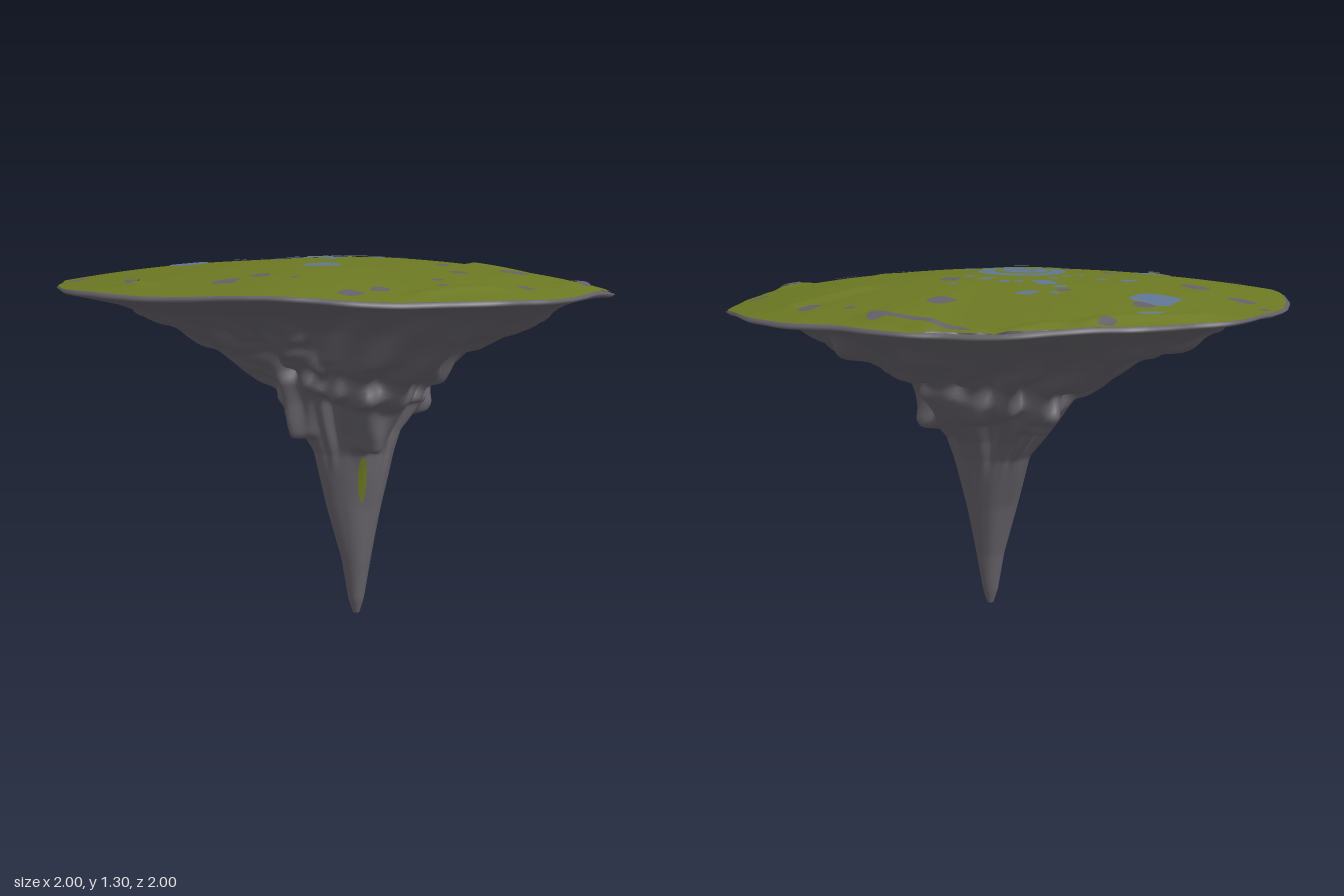
import * as THREE from 'three';

const mat = (name, color) => {
  const m = new THREE.MeshStandardMaterial({ color, side: THREE.DoubleSide });
  m.name = name;
  return m;
};
const TAU = Math.PI * 2, RAD = Math.PI / 180;
const { sin, cos, hypot, exp, min, max, floor, atan2 } = Math;
const lerp = THREE.MathUtils.lerp, smooth = THREE.MathUtils.smoothstep;

// Rim radius every 11.25 degrees, from +x towards +z
const RIM = [1, .99, 1, .985, .965, .955, .975, .995, .995, .96, .975, .96, .965, .97, .99, 1,
  1, .995, .985, .985, .985, .985, .985, 1.01, .985, 1, .965, .965, .94, .975, .955, .99];

// Rock sections: height, centre z, then radius in eight directions from +x towards +z
const ROWS = [
  [0, .14, .012, .012, .012, .012, .012, .012, .012, .012],
  [.05, .14, .028, .028, .028, .028, .028, .028, .028, .028],
  [.2, .135, .06, .055, .05, .05, .05, .05, .05, .055],
  [.4, .115, .11, .1, .085, .09, .1, .09, .085, .1],
  [.6, .09, .17, .15, .14, .13, .14, .13, .14, .15],
  [.68, .08, .2, .18, .2, .16, .19, .18, .2, .19],
  [.8, .06, .31, .27, .33, .22, .25, .25, .28, .28],
  [.9, .045, .38, .36, .47, .3, .32, .35, .39, .37],
  [1, .03, .52, .49, .6, .4, .44, .5, .6, .52],
  [1.07, .02, .69, .63, .71, .5, .58, .67, .76, .69],
  [1.12, .01, .8, .75, .78, .64, .7, .78, .85, .8],
  [1.16, 0, .9, .87, .87, .83, .86, .89, .93, .88],
];

// Overhanging rock lobes: angle, lowest y, height, bulge, angular half width
const LOBES = [
  [178, .65, .26, .055, 16], [268, .71, .22, .05, 14], [92, .61, .2, .06, 15], [10, .71, .2, .045, 13],
  [50, .77, .2, .04, 12], [318, .75, .2, .04, 12], [225, .8, .2, .035, 12], [135, .82, .2, .03, 12],
];
// Smaller lobes, and every fourth a hollow, spread round the flank
for (let i = 0; i < 72; i++) {
  const k = (i * .7549) % 1;
  LOBES.push([i * 137.5, .76 + .32 * k, .15 + .05 * sin(i), i % 4 ? .035 : -.045, lerp(8, 3.2, k)]);
}

// Smooth lookup around a closed ring of values
function around(values, a) {
  const n = values.length, f = ((a / TAU) % 1 + 1) % 1 * n, i = floor(f), k = f - i;
  return lerp(values[i % n], values[(i + 1) % n], k * k * (3 - 2 * k));
}
const rim = a => around(RIM, a) + .002 * sin(23 * a) * cos(2 * a) + .002 * cos(37 * a);
const edge = a => 1.187 - .013 * cos(a) + .006 * cos(5 * a + 1) + .004 * sin(9 * a);

// Raised folds in the turf: start x, z, end x, z
const FOLDS = [
  [.58, -.73, .68, -.6], [.67, -.6, .76, -.4], [.59, 0, .86, -.02], [-.16, .85, .09, .86],
  [-.1, -.93, .3, -.87], [.4, -.82, .52, -.79], [-.87, .19, -.83, .25], [.49, .7, .58, .68],
];

// Height of the turf at any x, z
function turfY(x, z) {
  const a = atan2(z, x), t = min(1, hypot(x, z) / rim(a));
  let y = lerp(1.285, edge(a), Math.pow(t, 2.2)) + .006 * sin(5 * x + 1) * cos(6 * z) * (1 - t);
  for (const [x0, z0, x1, z1] of FOLDS) {
    const dx = x1 - x0, dz = z1 - z0;
    const k = max(0, min(1, ((x - x0) * dx + (z - z0) * dz) / (dx * dx + dz * dz)));
    const d = hypot(x - x0 - k * dx, z - z0 - k * dz);
    y += .013 * exp(-d * d / .0009);
  }
  return y;
}

// Point on the rock below the rim
function rockPoint(a, y, grow = 0) {
  let i = 0;
  while (i < ROWS.length - 2 && y > ROWS[i + 1][0]) i++;
  const A = ROWS[i], B = ROWS[i + 1], k = (y - A[0]) / (B[0] - A[0]);
  let r = lerp(around(A.slice(2), a), around(B.slice(2), a), k);
  const rough = smooth(y, .5, .72) * (1 - smooth(y, 1.06, 1.15));
  const bend = a + .12 * sin(3 * a + 6 * y);
  r *= 1 + rough * (.04 * cos(6 * bend + 2) + .045 * cos(11 * bend + 1 - 4 * y)
    + .03 * cos(19 * bend + 6 * y) - .03) + .03 * cos(3 * a + 8 * y);
  let bulge = 0;
  for (const [deg, y0, h, size, w] of LOBES) {
    const d = atan2(sin(a - deg * RAD), cos(a - deg * RAD)) / (w * RAD);
    bulge += size * exp(-d * d) * smooth(y, y0, y0 + .045) * (1 - smooth(y, y0 + .05, y0 + h));
  }
  bulge *= 1 - smooth(y, 1.08, 1.15);
  r += bulge + grow;
  return [cos(a) * r, y - bulge * .5, lerp(A[1], B[1], k) + sin(a) * r];
}

// Closed surface: angle runs round, v runs along
function surface(nu, nv, fn) {
  const pos = [], idx = [];
  for (let j = 0; j <= nv; j++)
    for (let i = 0; i < nu; i++) pos.push(...fn(i / nu * TAU, j / nv));
  for (let j = 0; j < nv; j++)
    for (let i = 0; i < nu; i++) {
      const a = j * nu + i, b = j * nu + (i + 1) % nu;
      idx.push(a, a + nu, b, b, a + nu, b + nu);
    }
  const g = new THREE.BufferGeometry();
  g.setAttribute('position', new THREE.Float32BufferAttribute(pos, 3));
  g.setIndex(idx);
  g.computeVertexNormals();
  return g;
}

export function createModel() {
  const turf = mat('olive turf', 0x6b7822), rock = mat('grey rock', 0x646168);
  const blue = mat('slate blue', 0x5f7593), mauve = mat('mauve stone', 0x655f68);
  const model = new THREE.Group();
  model.name = 'floatingIsland';
  const add = (name, geometry, material) => {
    const m = new THREE.Mesh(geometry, material);
    m.name = name;
    model.add(m);
  };

  // Hanging rock, closing in a thin lip under the turf
  add('rockBody', surface(200, 113, (a, v) => {
    const j = Math.round(v * 113);
    if (j <= 110) return rockPoint(a, j / 110 * 1.15);
    const r = rim(a) * [.985, 1, .975][j - 111], y = edge(a) + [-.016, -.005, .002][j - 111];
    return [cos(a) * r, y, sin(a) * r];
  }), rock);

  // Domed turf
  add('turfTop', surface(160, 70, (a, v) => {
    const r = (1 - v) * rim(a) * (.99 + .005 * sin(6 * a)), x = cos(a) * r, z = sin(a) * r;
    return [x, turfY(x, z), z];
  }), turf);

  // Thin patches lying on the turf, kept inside the rim; inner > 0 leaves a hole
  const patch = (name, x, z, rx, rz, material, { inner = 0, turn = 0, wobble = 1 } = {}) =>
    add(name, surface(24, 4, (p, v) => {
      const s = lerp(1, inner, v) * (1 + wobble * (.09 * cos(4 * p + x * 20) + .07 * cos(3 * p + z * 30)));
      const u = cos(p) * rx * s, w = sin(p) * rz * s;
      const px = x + u * cos(turn) - w * sin(turn), pz = z + u * sin(turn) + w * cos(turn);
      const k = min(1, .99 * rim(atan2(pz, px)) / hypot(px, pz));
      return [px * k, turfY(px * k, pz * k) + .005, pz * k];
    }), material);

  // Central ring and swirl
  patch('centreRing', .002, -.085, .163, .14, blue, { inner: .66, wobble: .3 });
  patch('centreSwirl', -.015, -.075, .086, .08, blue, { inner: .45, wobble: .3 });
  patch('centreDot', -.01, -.08, .024, .028, blue, { wobble: .5 });
  patch('swirlBridge', .02, -.05, .03, .014, blue, { turn: .8 });

  // Blue patches: x, z, half width, half depth
  for (const [x, z, a, b] of [
    [-.07, -.73, .08, .077], [-.5, -.19, .072, .062], [-.23, .32, .067, .052], [-.08, .1, .035, .03],
    [.1, .1, .03, .035], [.1, -.36, .035, .05], [.25, -.48, .04, .025], [.1, -.45, .025, .02],
    [-.21, -.42, .035, .025], [.08, -.9, .06, .014], [-.13, -.37, .02, .02], [.2, -.27, .022, .018],
    [.22, -.19, .03, .016], [.02, -.3, .015, .02], [-.05, -.27, .02, .012], [.36, -.21, .02, .012],
    [.18, -.53, .012, .025], [.16, -.3, .012, .02], [.24, -.12, .02, .018], [-.12, -.26, .012, .018]])
    patch('bluePatch', x, z, a, b, blue);

  // Mauve patches: x, z, radius
  for (const [x, z, r] of [
    [-.42, -.75, .05], [-.4, -.54, .052], [.02, -.78, .04], [.52, -.4, .045], [.32, -.12, .038],
    [-.3, -.2, .03], [-.89, -.22, .035], [.84, -.12, .038], [.75, -.43, .04], [.4, .52, .052],
    [.79, .41, .04], [.21, .38, .03], [.14, .58, .035], [-.51, .45, .033], [-.63, .46, .043],
    [-.38, .8, .038], [-.27, .78, .032], [.22, .84, .028], [.55, .69, .035], [-.03, .72, .018],
    [-.22, -.03, .03], [-.06, .8, .018], [-.44, .55, .014], [.26, -.91, .028], [.13, -.51, .025],
    [.76, -.25, .018], [-.85, .22, .025], [-.41, -.88, .025]])
    patch('mauvePatch', x, z, r, r * .9, mauve);

  // Bare rock showing through the largest fold
  patch('foldGap', .68, -.58, .15, .014, rock, { turn: 1.1 });

  // Moss marks on the rock: angle, y, half angle, half height
  for (const [deg, y, da, dy] of [[99, .51, 8, .085], [47, 1.04, 3, .015], [215, 1.05, 2, .015]])
    add('mossStreak', surface(16, 3, (p, v) =>
      rockPoint((deg + cos(p) * da * (1 - v)) * RAD, y + sin(p) * dy * (1 - v), .006)), turf);

  return model;
}
